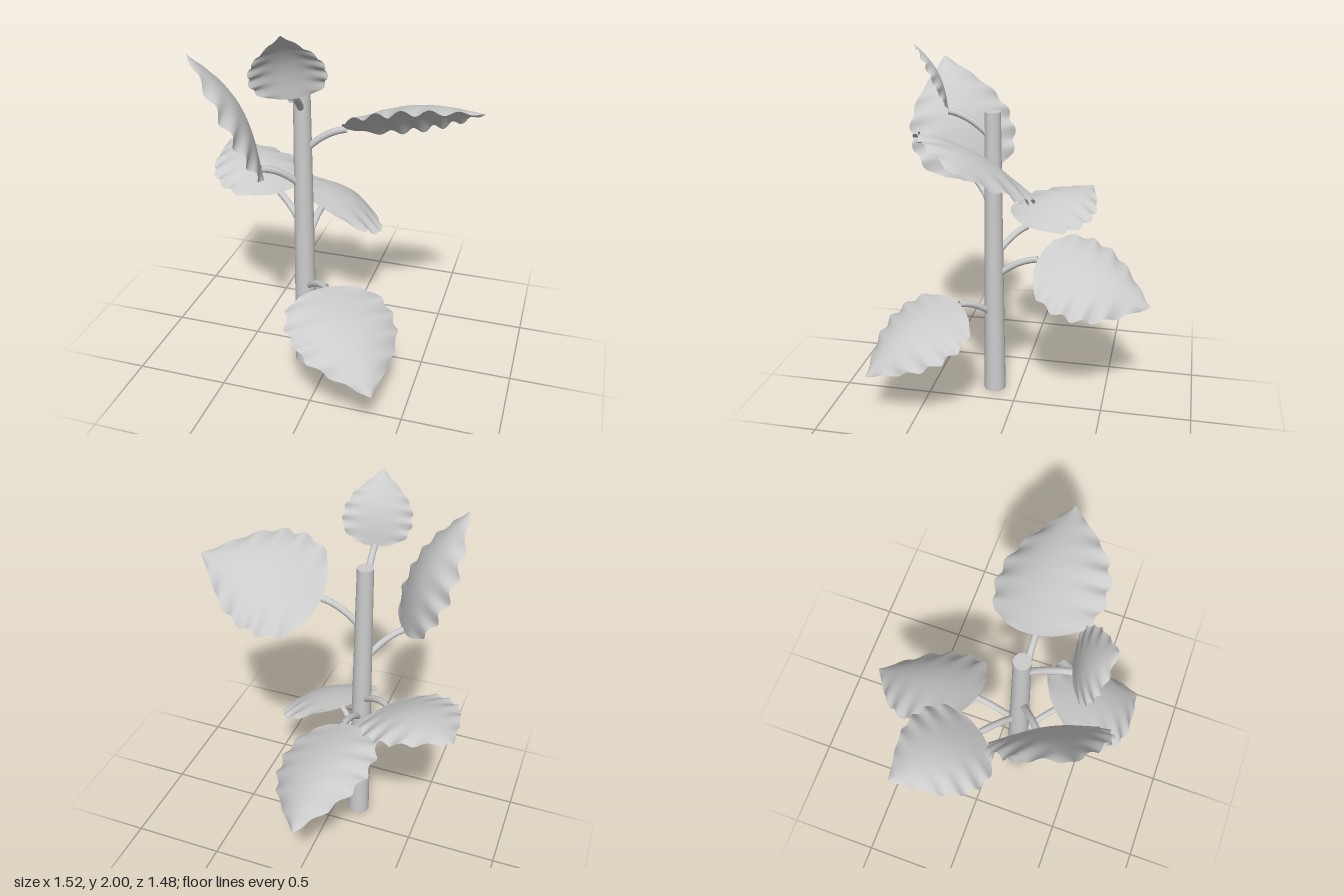
import * as THREE from 'three';

const grey = new THREE.MeshStandardMaterial({ color: 0xcccccc, side: THREE.DoubleSide });
grey.name = 'grey';

const V = (a) => new THREE.Vector3(...a);
const STEM = { x: -0.14, z: 0.14, height: 1.65 };

// start: height on the stem; base, tip: ends of the blade; side: full width across the blade
const leaves = [
  { start: 0.47, base: [0.03, 0.60, 0.30], tip: [0.395, 0.30, 0.73], side: [0.51, -0.12, -0.28] },
  { start: 0.70, base: [-0.125, 0.84, -0.11], tip: [-0.09, 0.62, -0.74], side: [0.54, -0.25, 0.05] },
  { start: 0.82, base: [-0.33, 0.95, -0.01], tip: [-0.76, 1.085, -0.34], side: [0.33, -0.03, -0.40] },
  { start: 1.08, base: [-0.31, 1.23, 0.29], tip: [-0.56, 1.865, 0.51], side: [0.29, -0.05, 0.51] },
  { start: 1.28, base: [0.09, 1.43, 0.13], tip: [0.76, 1.575, 0.105], side: [0, 0.30, 0.57] },
  { start: 1.50, base: [-0.11, 1.65, 0.37], tip: [-0.09, 2.0, 0.54], side: [0.33, 0, -0.13] },
];

// Half width of the blade along its length: blunt base, pointed tip
const outline = [[0, 0], [0.012, 0.3], [0.05, 0.58], [0.13, 0.86], [0.28, 1], [0.45, 0.99],
  [0.6, 0.86], [0.75, 0.6], [0.87, 0.31], [1, 0]];
function halfWidth(u) {
  let i = 1;
  while (i < outline.length - 1 && u > outline[i][0]) i++;
  const [a, b] = [outline[i - 1], outline[i]];
  return THREE.MathUtils.lerp(a[1], b[1], (u - a[0]) / (b[0] - a[0]));
}

// Domed blade with a rippled, scalloped rim
function bladeGeometry({ base, tip, side }) {
  const origin = V(base);
  const along = V(tip).sub(origin);
  const length = along.length();
  along.normalize();
  const width = V(side).length();
  const across = V(side).addScaledVector(along, -V(side).dot(along)).normalize();
  const up = across.clone().cross(along);
  if (up.y < 0) {
    up.negate();
    across.negate();
  }
  const geometry = new THREE.PlaneGeometry(1, 1, 24, 72);
  const pos = geometry.attributes.position;
  const p = new THREE.Vector3();
  for (let i = 0; i < pos.count; i++) {
    const v = pos.getX(i) * 2;
    const u = Math.pow(THREE.MathUtils.clamp(pos.getY(i) + 0.5, 0, 1), 1.4);
    const fade = Math.sqrt(Math.max(0, Math.sin(Math.PI * u)));
    const phase = 2 * Math.PI * 6 * u + (v > 0 ? 0.9 : 0);
    const rim = Math.pow(Math.abs(v), 3) * fade;
    const w = 0.5 * width * halfWidth(u) * v * (1 + 0.035 * rim * Math.cos(phase));
    const lift = length * (0.11 * (1 - v * v) * fade * fade + 0.022 * rim * Math.sin(phase));
    p.copy(origin).addScaledVector(along, u * length).addScaledVector(across, w).addScaledVector(up, lift);
    pos.setXYZ(i, p.x, p.y, p.z);
  }
  geometry.computeVertexNormals();
  return geometry;
}

// Stalk arching from the stem out to the blade
function stalkGeometry({ start, base }) {
  const a = new THREE.Vector3(STEM.x, start, STEM.z);
  const b = V(base);
  const bend = a.clone().lerp(b, 0.5);
  bend.y = THREE.MathUtils.lerp(start, b.y, 0.88);
  return new THREE.TubeGeometry(new THREE.QuadraticBezierCurve3(a, bend, b), 16, 0.018, 10);
}

export function createModel() {
  const model = new THREE.Group();
  model.name = 'plant';
  const add = (parent, name, geometry) => {
    const mesh = new THREE.Mesh(geometry, grey);
    mesh.name = name;
    parent.add(mesh);
    return mesh;
  };

  // Tapered stem
  const stem = add(model, 'stem', new THREE.CylinderGeometry(0.043, 0.062, STEM.height, 24));
  stem.position.set(STEM.x, STEM.height / 2, STEM.z);

  // Leaves, each a stalk and a blade
  leaves.forEach((leaf, i) => {
    const group = new THREE.Group();
    group.name = `leaf${i + 1}`;
    add(group, 'stalk', stalkGeometry(leaf));
    add(group, 'blade', bladeGeometry(leaf));
    model.add(group);
  });
  return model;
}
